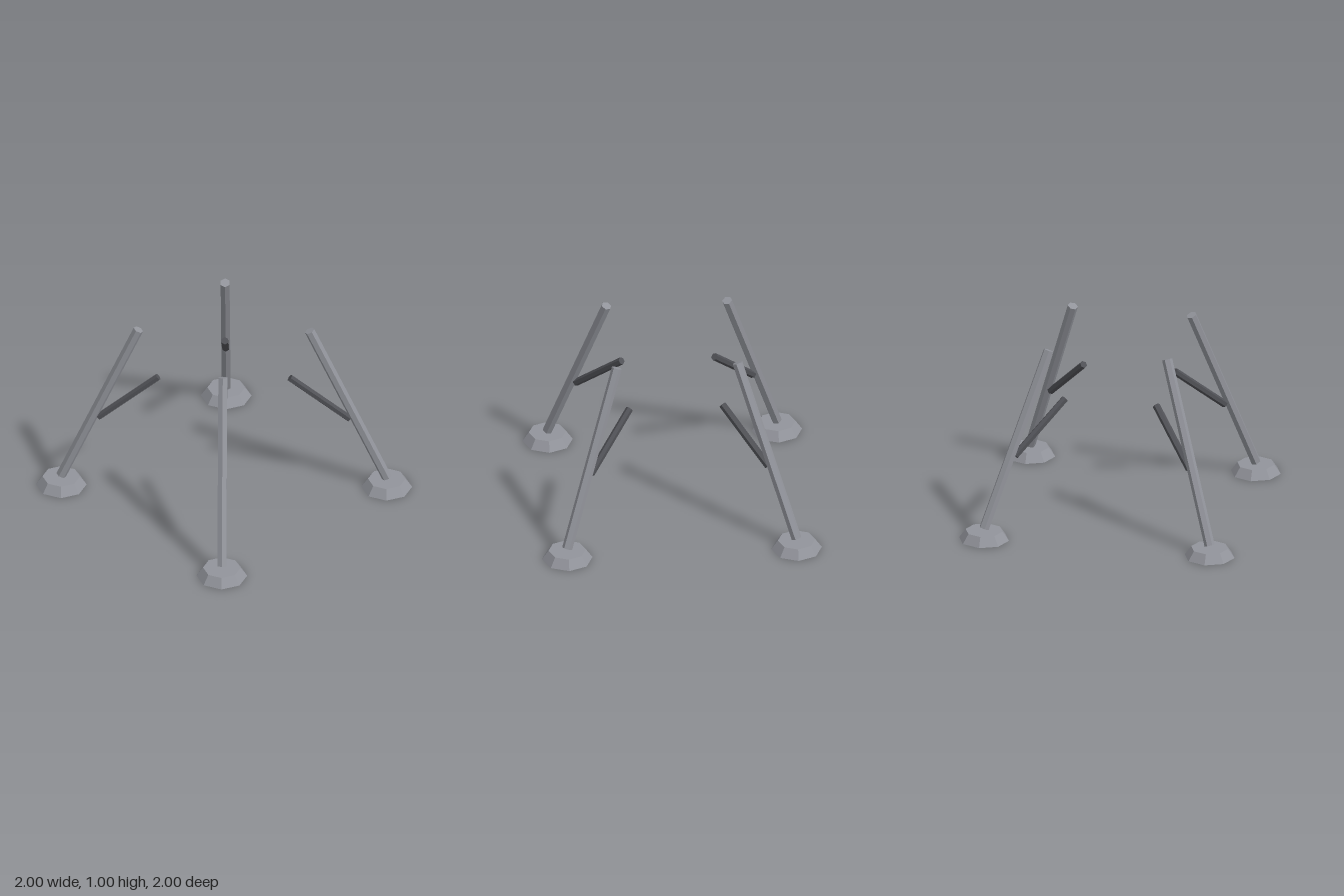
import * as THREE from 'three';

const steel = new THREE.MeshStandardMaterial({ name: 'steel grey', color: 0x92949b, flatShading: true });
const darkSteel = new THREE.MeshStandardMaterial({ name: 'dark steel', color: 0x505156, flatShading: true });
const UP = new THREE.Vector3(0, 1, 0);

// Six-sided rod between two points given as [y, z]
function rod(name, from, to, radius, material) {
  const a = new THREE.Vector3(0, ...from);
  const b = new THREE.Vector3(0, ...to);
  const axis = b.clone().sub(a);
  const mesh = new THREE.Mesh(new THREE.CylinderGeometry(radius, radius, axis.length(), 6), material);
  mesh.position.copy(a).add(b).multiplyScalar(0.5);
  mesh.quaternion.setFromUnitVectors(UP, axis.normalize());
  mesh.name = name;
  return mesh;
}

// One leg leaning inward, with its foot pad and inner brace
function createLeg() {
  const leg = new THREE.Group();
  const foot = new THREE.Mesh(new THREE.CylinderGeometry(0.1, 0.135, 0.05, 8), steel);
  foot.position.set(0, 0.025, 0.865);
  foot.name = 'footPad';
  leg.add(
    foot,
    rod('strut', [0.06, 0.865], [0.99, 0.455], 0.0275, steel),
    rod('brace', [0.433, 0.668], [0.69, 0.35], 0.02, darkSteel),
  );
  return leg;
}

export function createModel() {
  const model = new THREE.Group();
  model.name = 'landingLegs';
  ['frontLeg', 'leftLeg', 'backLeg', 'rightLeg'].forEach((name, i) => {
    const leg = createLeg();
    leg.name = name;
    leg.rotation.y = (i * Math.PI) / 2;
    model.add(leg);
  });
  return model;
}
